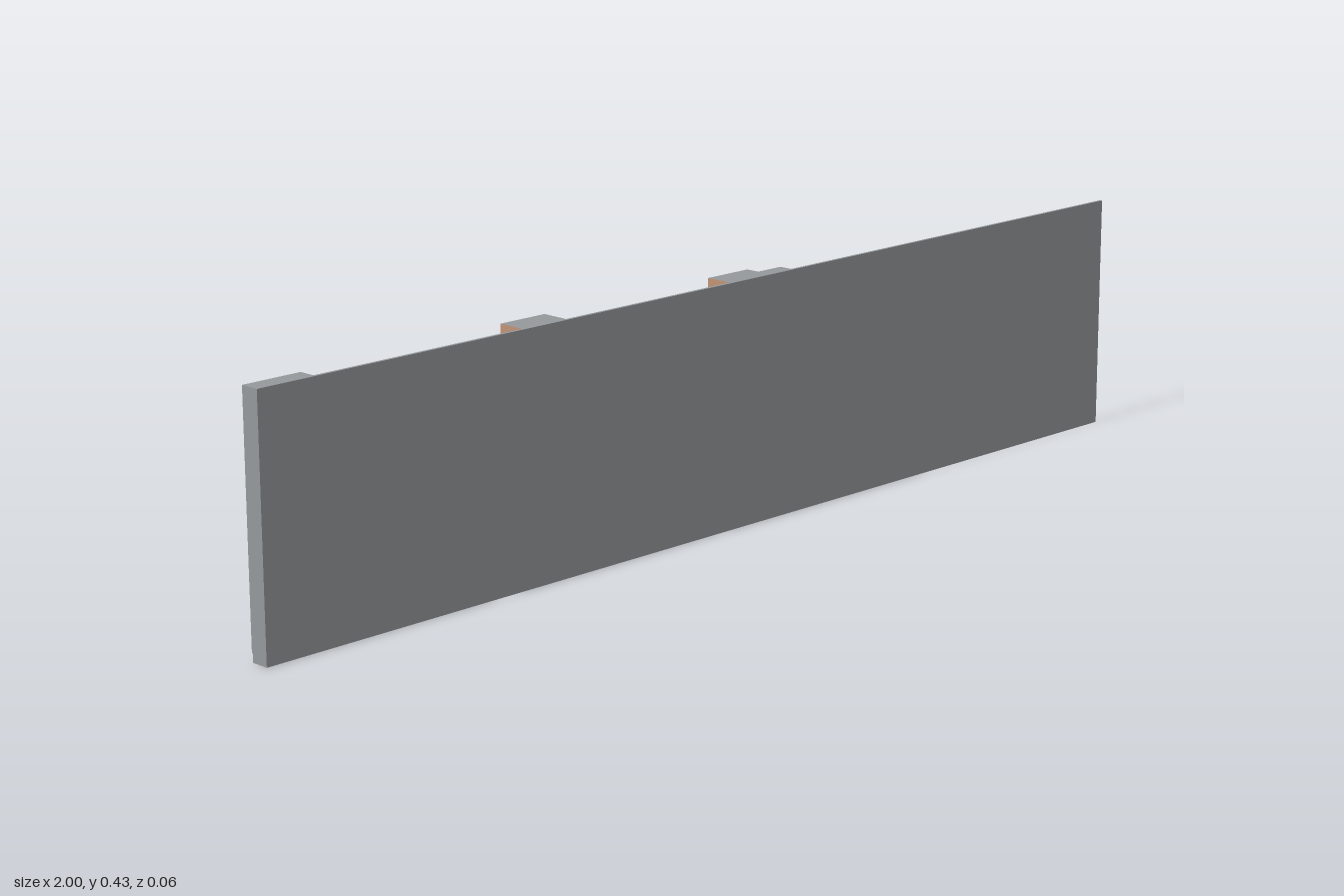
import * as THREE from 'three';

const FRONT = 0.028;

// Plan outline of the wall with its piers; inset shrinks the clad faces.
function wallOutline(inset) {
  const back = 0.0225 + inset;
  const piers = [
    [-1, -0.89, -0.007],
    [-0.47, -0.375, -0.028],
    [0, 0.095, -0.028],
    [0.095, 0.15, -0.002],
  ];
  const pts = [[1, FRONT], [-1, FRONT]];
  piers.forEach(([x0, x1, z], i) => {
    const joinsPrev = i > 0 && piers[i - 1][1] === x0;
    const joinsNext = i < piers.length - 1 && piers[i + 1][0] === x1;
    const left = x0 === -1 ? x0 : joinsPrev ? x0 - inset : x0 + inset;
    const right = x1 - inset;
    if (x0 !== -1 && !joinsPrev) pts.push([left, back]);
    pts.push([left, z + inset], [right, z + inset]);
    if (!joinsNext) pts.push([right, back]);
  });
  pts.push([1, back]);
  return new THREE.Shape(pts.map(([x, z]) => new THREE.Vector2(x, -z)));
}

// Extrude the plan upward; faces matching isClad get the second material.
function buildWall(name, inset, y0, y1, materials, isClad) {
  const geo = new THREE.ExtrudeGeometry(wallOutline(inset), { depth: y1 - y0, bevelEnabled: false });
  geo.rotateX(-Math.PI / 2);
  geo.translate(0, y0, 0);
  const pos = geo.attributes.position;
  const nor = geo.attributes.normal;
  geo.clearGroups();
  for (let i = 0; i < pos.count; i += 3) {
    const clad = isClad(nor.getX(i), nor.getY(i), nor.getZ(i), pos.getX(i));
    geo.addGroup(i, 3, clad ? 1 : 0);
  }
  const mesh = new THREE.Mesh(geo, materials);
  mesh.name = name;
  return mesh;
}

export function createModel() {
  const group = new THREE.Group();
  group.name = 'wallPanel';
  const grey = new THREE.MeshStandardMaterial({ color: 0x95999b });
  grey.name = 'grey plaster';
  const brown = new THREE.MeshStandardMaterial({ color: 0xc09376 });
  brown.name = 'brown cladding';

  // Recessed grey base strip
  group.add(buildWall('baseStrip', 0.002, 0, 0.016, [grey, brown], () => false));

  // Upper wall: brown on the back and pier sides, grey front, ends and top
  group.add(buildWall('cladWall', 0, 0.016, 0.43, [grey, brown],
    (nx, ny, nz, x) => nz < -0.5 || (Math.abs(nx) > 0.5 && Math.abs(x) < 0.99)));

  return group;
}
